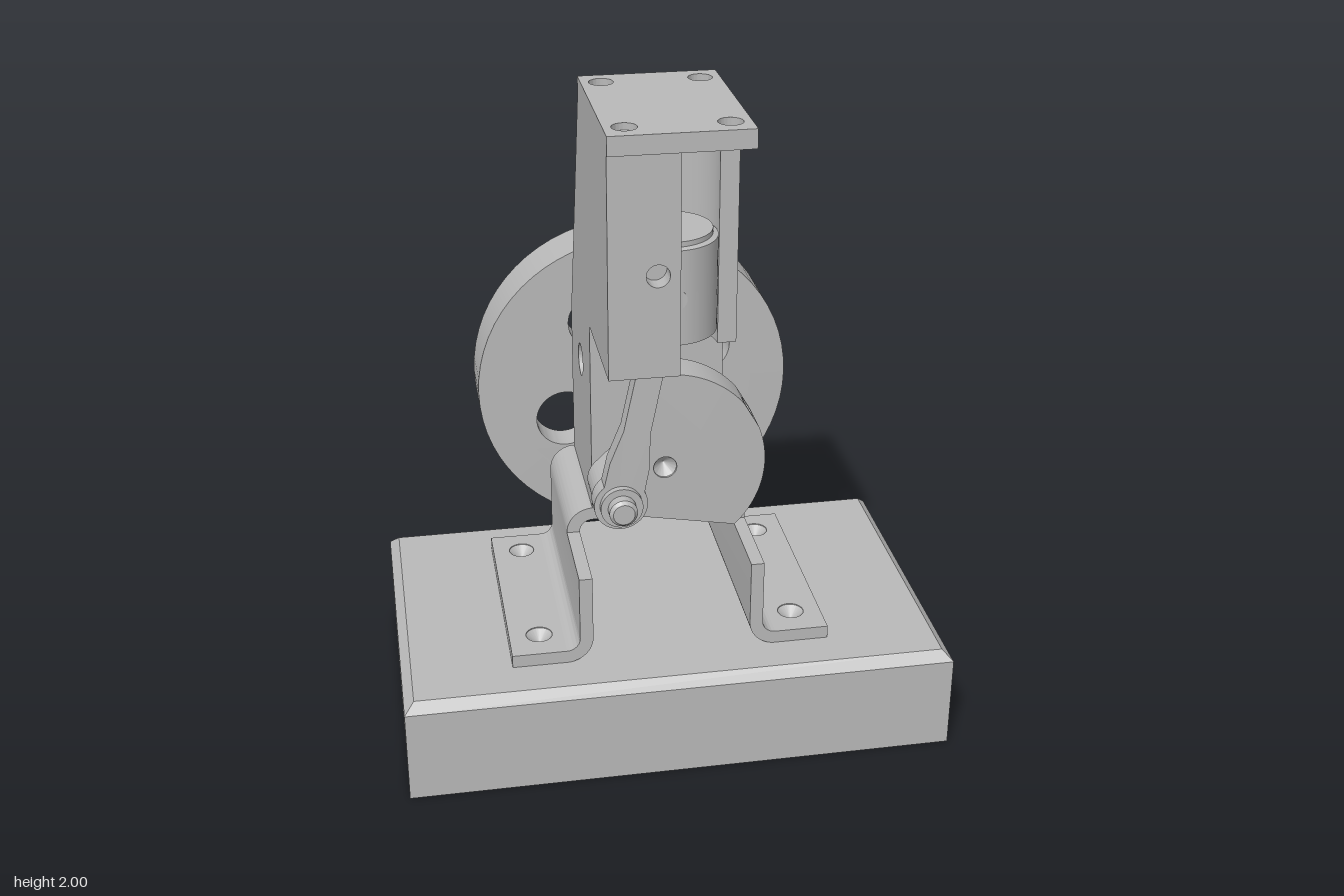
import * as THREE from 'three';
import { toCreasedNormals } from 'three/addons/utils/BufferGeometryUtils.js';

const rad = THREE.MathUtils.degToRad;
const castMetal = new THREE.MeshStandardMaterial({ color: 0xbababa, side: THREE.DoubleSide });
castMetal.name = 'cast metal grey';

function part(parent, name, geometry) {
  const mesh = new THREE.Mesh(toCreasedNormals(geometry, 0.5), castMetal);
  mesh.name = name;
  parent.add(mesh);
  return mesh;
}

const poly = (pts) => new THREE.Shape(pts.map(([x, y]) => new THREE.Vector2(x, y)));
const rect = (x0, y0, x1, y1) => poly([[x0, y0], [x1, y0], [x1, y1], [x0, y1]]);

function drill(shape, x, y, r) {
  shape.holes.push(new THREE.Path().absarc(x, y, r, 0, Math.PI * 2, true));
  return shape;
}

// extrusions along z, along x (shape drawn as z, y) and along y (shape drawn as x, z)
const slab = (shape, z0, z1) =>
  new THREE.ExtrudeGeometry(shape, { depth: z1 - z0, bevelEnabled: false, curveSegments: 32 }).translate(0, 0, z0);
const slabX = (shape, halfWidth) => slab(shape, -halfWidth, halfWidth).rotateY(-Math.PI / 2);
const slabY = (shape, y0, y1) => slab(shape, -y1, -y0).rotateX(Math.PI / 2);

// turned parts about y, or about z
const turned = (pts) => new THREE.LatheGeometry(pts.map(([r, y]) => new THREE.Vector2(r, y)), 64);
const turnedZ = (pts) => turned(pts).rotateX(Math.PI / 2);

const AXIS_Y = 0.893;  // crankshaft height
const HALF = 0.2;      // half width of the column
const BORE_Z = 0.355;  // cylinder centre line
const BORE_R = 0.145;

function makeBase(parent) {
  const geo = new THREE.BoxGeometry(1.66, 0.325, 1.01, 1, 2, 1).translate(0, 0.1625, 0.102);
  const p = geo.attributes.position;
  for (let i = 0; i < p.count; i++) {
    const y = p.getY(i);
    if (y > 0.3) {
      p.setX(i, p.getX(i) - Math.sign(p.getX(i)) * 0.03);
      p.setZ(i, p.getZ(i) - Math.sign(p.getZ(i) - 0.102) * 0.03);
    } else if (y > 0.1) p.setY(i, 0.295);
  }
  part(parent, 'base', geo);
}

// blind conical bottom of a screw hole
const pit = (x, y, z, r, depth) => turned([[0, y - depth], [r, y]]).translate(x, 0, z);

function makeBracket(parent) {
  // bridge with rounded shoulders under the column
  const bridge = new THREE.Shape();
  bridge.moveTo(0.28, 0.61);
  bridge.absarc(0.2, 0.61, 0.08, 0, Math.PI / 2, false);
  bridge.absarc(-0.2, 0.61, 0.08, Math.PI / 2, Math.PI, false);
  bridge.lineTo(-0.24, 0.61);
  bridge.absarc(-0.2, 0.61, 0.04, Math.PI, Math.PI / 2, true);
  bridge.absarc(0.2, 0.61, 0.04, Math.PI / 2, 0, true);
  part(parent, 'bracketBridge', slab(bridge, -0.25, 0.175));

  for (const s of [-1, 1]) {
    // upright with the bend into the foot
    const leg = new THREE.Shape();
    leg.moveTo(0.24, 0.61);
    leg.lineTo(0.24, 0.405);
    leg.absarc(0.32, 0.405, 0.08, Math.PI, Math.PI * 1.5, false);
    leg.lineTo(0.32, 0.365);
    leg.absarc(0.32, 0.405, 0.04, Math.PI * 1.5, Math.PI, true);
    leg.lineTo(0.28, 0.61);
    const legMesh = part(parent, 'bracketLeg', slab(leg, -0.25, 0.455));
    if (s < 0) {
      legMesh.rotation.y = Math.PI;
      legMesh.position.z = 0.205;
    }
    const foot = rect(s * 0.32, -0.25, s * 0.485, 0.455);
    for (const z of [-0.155, 0.35]) {
      drill(foot, s * 0.393, z, 0.04);
      part(parent, 'footScrewHole', pit(s * 0.393, 0.362, z, 0.04, 0.034));
    }
    part(parent, 'bracketFoot', slabY(foot, 0.325, 0.365));
  }
}

// plan of the housing with its front quarter cut away; window leaves room for the port plate
function housingPlan(window) {
  const s = new THREE.Shape();
  s.moveTo(HALF, 0.175);
  s.lineTo(-HALF, 0.175);
  s.lineTo(-HALF, 0.555);
  if (window) for (const [x, z] of [[-0.112, 0.555], [-0.112, 0.5], [-0.012, 0.5], [-0.012, 0.555]]) s.lineTo(x, z);
  s.lineTo(0, 0.555);
  s.absarc(0, BORE_Z, BORE_R, Math.PI / 2, Math.PI * 2, false);
  s.lineTo(HALF, BORE_Z);
  return s;
}

function makeColumn(parent) {
  const lower = drill(poly([[0.175, 0.69], [0.175, 1.945], [0, 1.945], [-0.25, 1.175], [-0.25, 0.69]]), -0.04, 1.095, 0.05);
  part(parent, 'column', slabX(lower, HALF));
  for (const [y0, y1, window] of [[1.3, 1.55, false], [1.55, 1.65, true], [1.65, 1.945, false]])
    part(parent, 'cylinderHousing', slabY(housingPlan(window), y0, y1));
  part(parent, 'portPlate', slab(drill(rect(-0.112, 1.55, -0.012, 1.65), -0.062, 1.6, 0.033), 0.5, 0.555));

  // head plate; the front hole on the cut side goes right through
  const head = rect(-HALF, 0, HALF, 0.565);
  for (const x of [-0.142, 0.142]) for (const z of [0.07, 0.49]) {
    drill(head, x, z, 0.035);
    if (x < 0 || z < 0.3) part(parent, 'headScrewHole', pit(x, 1.98, z, 0.035, 0.034));
  }
  part(parent, 'headPlate', slabY(head, 1.945, 2));
  part(parent, 'headPlug', turned([[0, 1.905], [0.036, 1.905], [0.036, 1.946]]).translate(0, 0, BORE_Z));
}

function makePiston(parent) {
  part(parent, 'piston', turned([[0, 1.6], [0.11, 1.6], [0.11, 1.365], [0.14, 1.365], [0.14, 1.645],
    [0.125, 1.65], [0.125, 1.665], [0, 1.665]]).translate(0, 0, BORE_Z));
  part(parent, 'wristPin', new THREE.CylinderGeometry(0.03, 0.03, 0.278, 24).rotateX(Math.PI / 2).translate(0, 1.5, BORE_Z));
}

function makeCrank(parent) {
  const crank = new THREE.Group();
  crank.name = 'crank';
  crank.position.y = AXIS_Y;
  crank.rotation.z = rad(30);
  parent.add(crank);

  // counterweight web with a slot for the drilled rim block
  const R = 0.303, h = 0.045, a = Math.asin(h / R), rim = R * Math.cos(a);
  const web = new THREE.Shape();
  web.moveTo(-0.006, -0.116);
  web.absarc(0, 0, R, rad(-75), -a, false);
  web.lineTo(0.15, -h);
  web.lineTo(0.15, h);
  web.absarc(0, 0, R, a, rad(75), false);
  web.lineTo(-0.006, 0.116);
  web.absarc(-0.164, 0, 0.075, rad(100), rad(260), false);
  part(crank, 'crankWeb', slab(drill(web, 0, 0, 0.035), 0.205, 0.325));
  const block = drill(rect(-0.06, -h, 0.06, h), 0, 0, 0.033);
  part(crank, 'crankRimBlock', slab(block, 0.15, rim).rotateY(Math.PI / 2).translate(0, 0, 0.265));
  part(crank, 'shaftCentre', turnedZ([[0, 0.285], [0.035, 0.318]]));
  part(crank, 'crankPin', turnedZ([[0.04, 0.32], [0.04, 0.385], [0.063, 0.385], [0.063, 0.405], [0.042, 0.405],
    [0.042, 0.435], [0.032, 0.445], [0, 0.445]]).translate(-0.164, 0, 0));
}

function makeConrod(parent) {
  const dx = 0.142, dy = 1.5 - 0.811, L = Math.hypot(dx, dy);
  const rod = new THREE.Shape();
  rod.absarc(0, 0, 0.08, rad(140), rad(400), false);
  rod.lineTo(0.06, 0.13);
  rod.lineTo(0.04, 0.24);
  rod.lineTo(0.038, L - 0.06);
  rod.absarc(0, L, 0.06, rad(-45), rad(225), false);
  rod.lineTo(-0.038, L - 0.06);
  rod.lineTo(-0.04, 0.24);
  rod.lineTo(-0.06, 0.13);
  const mesh = part(parent, 'connectingRod', slab(rod, 0.327, 0.385));
  mesh.position.set(-dx, 0.811, 0);
  mesh.rotation.z = -Math.atan2(dx, dy);
}

function makeFlywheel(parent) {
  const wheel = new THREE.Group();
  wheel.name = 'flywheel';
  wheel.position.y = AXIS_Y;
  parent.add(wheel);
  part(wheel, 'flywheelRim', turnedZ([[0.39, -0.45], [0.503, -0.45], [0.503, -0.27], [0.39, -0.27], [0.39, -0.45]]));
  const disc = new THREE.Shape().absarc(0, 0, 0.39, 0, Math.PI * 2, false);
  for (let i = 0; i < 4; i++) {
    const t = rad(27 + 90 * i);
    drill(disc, 0.25 * Math.cos(t), 0.25 * Math.sin(t), 0.095);
  }
  part(wheel, 'flywheelDisc', slab(disc, -0.37, -0.27));
  part(wheel, 'flywheelHub', turnedZ([[0, -0.4], [0.08, -0.4], [0.08, -0.36]]));
  part(wheel, 'shaft', turnedZ([[0, -0.605], [0.032, -0.605], [0.04, -0.595], [0.04, 0.21]]));
  part(wheel, 'rearBearing', turnedZ([[0.12, -0.275], [0.12, -0.245]]));
  part(wheel, 'frontBearing', turnedZ([[0.12, 0.17], [0.12, 0.19], [0.08, 0.19], [0.08, 0.207]]));
}

export function createModel() {
  const model = new THREE.Group();
  model.name = 'cutawayEngine';
  makeBase(model);
  const engine = new THREE.Group();
  engine.name = 'engine';
  engine.position.x = -0.013;
  model.add(engine);
  for (const make of [makeBracket, makeColumn, makePiston, makeCrank, makeConrod, makeFlywheel]) make(engine);
  return model;
}
